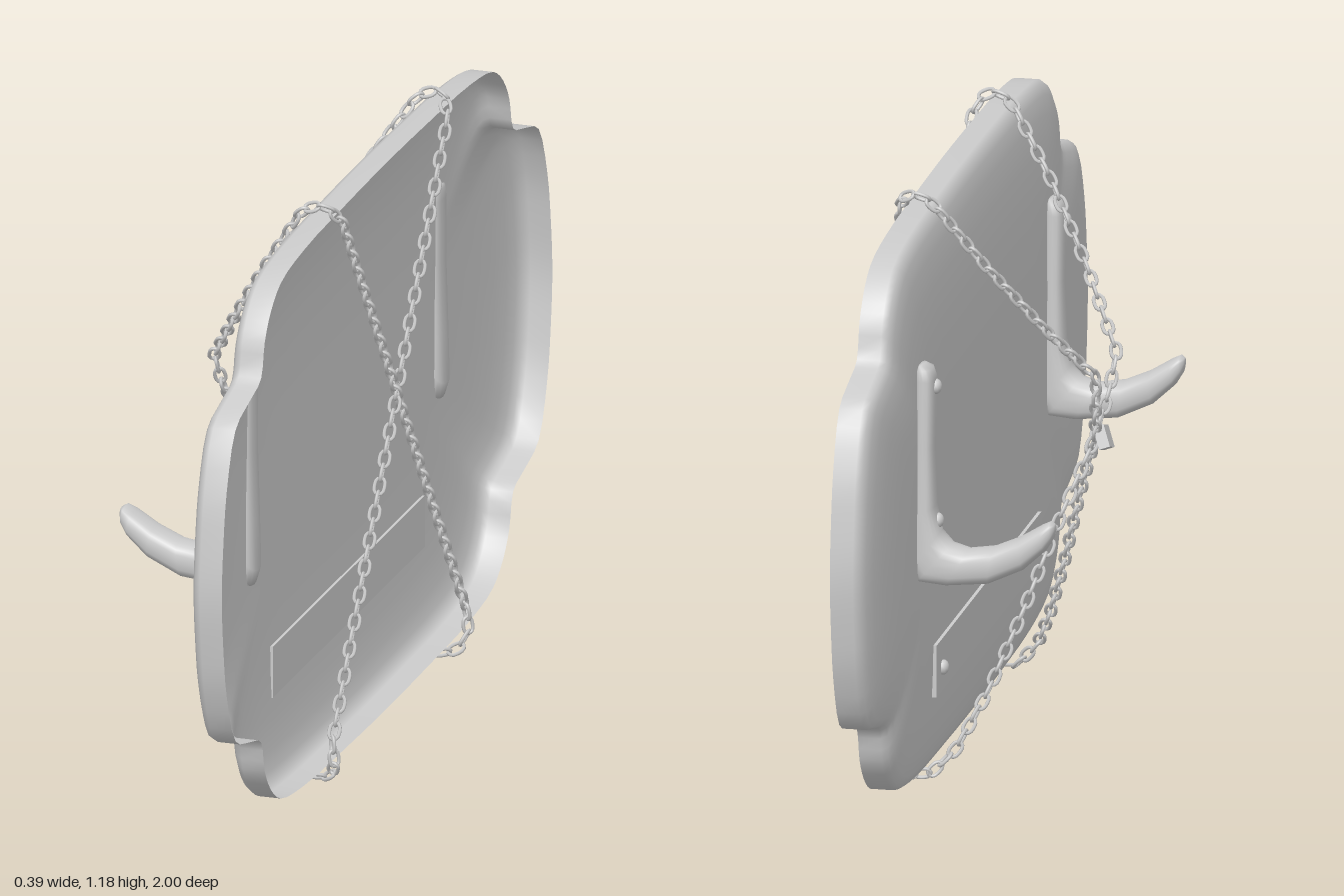
import * as THREE from 'three';
import { mergeGeometries } from 'three/addons/utils/BufferGeometryUtils.js';

const grey = new THREE.MeshStandardMaterial({ color: 0xcccccc });
const greyOpen = new THREE.MeshStandardMaterial({ color: 0xcccccc, side: THREE.DoubleSide });
const V = (x, y, z) => new THREE.Vector3(x, y, z);
const MID_Y = 0.59;

// Skin a list of closed rings that all have the same number of points
function loft(rings) {
  const n = rings[0].length, index = [];
  for (let i = 0; i < rings.length - 1; i++) {
    for (let j = 0; j < n; j++) {
      const a = i * n + j, b = i * n + (j + 1) % n;
      index.push(a, b + n, b, a, a + n, b + n);
    }
  }
  const geo = new THREE.BufferGeometry().setFromPoints(rings.flat());
  geo.setIndex(index);
  geo.computeVertexNormals();
  return geo;
}

function add(parent, name, geo, material = grey) {
  const mesh = new THREE.Mesh(geo, material);
  mesh.name = name;
  parent.add(mesh);
  return mesh;
}

// Board: a hollow domed shell, open at the back (+x), with notched corners
function boardGeometry() {
  const quarter = [[0.25, 0.557], [0.505, 0.549], [0.644, 0.528], [0.703, 0.49], [0.74, 0.44], [0.762, 0.373],
    [0.83, 0.35], [0.917, 0.319], [0.97, 0.21], [0.99, 0.11]];
  const back = [...quarter].reverse();
  const pts = [[0, 0.56], ...quarter, [1, 0], ...back.map(([z, y]) => [z, -y]), [0, -0.56],
    ...quarter.map(([z, y]) => [-z, -y]), [-1, 0], ...back.map(([z, y]) => [-z, y])];
  const outline = new THREE.CatmullRomCurve3(pts.map(([z, y]) => V(0, y, z)), true).getPoints(132).slice(0, -1);
  // depth of each ring and its inset from the outline
  const profile = [[0.15, 0], [0.105, 0], [0.093, 0.007], [0.084, 0.025], [0.077, 0.06], [0.071, 0.12],
    [0.067, 0.22], [0.066, 0.36], [0.066, 0.56]];
  return loft(profile.map(([x, d]) =>
    outline.map(p => V(x, MID_Y + p.y * (1 - d / 0.56), p.z * (1 - d)))));
}

// Hook: rounded sections between an inner and an outer edge line
function hookGeometry() {
  // inner x, inner y, outer x, outer y, half width
  const stations = [
    [0.058, 0.904, 0.068, 0.904, 0.02], [0.043, 0.897, 0.073, 0.897, 0.029], [0.036, 0.875, 0.074, 0.875, 0.033],
    [0.038, 0.74, 0.074, 0.74, 0.034], [0.036, 0.62, 0.078, 0.6, 0.036], [0.025, 0.57, 0.081, 0.5, 0.038],
    [0.003, 0.546, 0.072, 0.468, 0.038], [-0.03, 0.536, 0.015, 0.463, 0.038], [-0.08, 0.544, -0.07, 0.472, 0.038],
    [-0.13, 0.566, -0.14, 0.505, 0.037], [-0.172, 0.592, -0.183, 0.545, 0.034], [-0.19, 0.601, -0.196, 0.567, 0.026],
    [-0.198, 0.597, -0.2, 0.583, 0.012]];
  const soft = v => Math.sign(v) * Math.abs(v) ** 0.75;
  const ring = ([ax, ay, bx, by, w], scale = 1) => Array.from({ length: 20 }, (_, k) => {
    const t = k / 20 * Math.PI * 2, c = soft(Math.cos(t)) * scale, s = soft(Math.sin(t)) * scale;
    return V((ax + bx) / 2 + (ax - bx) / 2 * c, (ay + by) / 2 + (ay - by) / 2 * c, w * s);
  });
  return loft([ring(stations[0], 0), ...stations.map(s => ring(s)), ring(stations.at(-1), 0)]);
}

// Domed screw head facing -x
function screw(parent, x, y, z) {
  const geo = new THREE.SphereGeometry(0.015, 12, 8).scale(0.75, 1, 1);
  add(parent, 'screwHead', geo).position.set(x, y, z);
}

// Chain: alternating oval links along a path of straight runs
function chainGeometry(points) {
  const oval = Array.from({ length: 10 }, (_, k) => {
    const t = k / 10 * Math.PI * 2;
    return V(Math.cos(t) * 0.011 + Math.sign(Math.round(Math.cos(t) * 10)) * 0.006, Math.sin(t) * 0.0095, 0);
  });
  const link = new THREE.TubeGeometry(new THREE.CatmullRomCurve3(oval, true), 14, 0.0038, 5, true);
  const path = new THREE.CurvePath();
  for (let i = 1; i < points.length; i++) path.add(new THREE.LineCurve3(points[i - 1], points[i]));
  const count = Math.round(path.getLength() / 0.0275);
  const links = [];
  for (let i = 0; i < count; i++) {
    const u = (i + 0.5) / count;
    const along = path.getPointAt(Math.min(1, u + 0.003)).sub(path.getPointAt(Math.max(0, u - 0.003))).normalize();
    const turn = new THREE.Quaternion().setFromUnitVectors(V(1, 0, 0), along);
    const roll = new THREE.Quaternion().setFromAxisAngle(V(1, 0, 0), Math.PI / 4 + (i % 2) * Math.PI / 2);
    const matrix = new THREE.Matrix4().compose(path.getPointAt(u), turn.multiply(roll), V(1, 1, 1));
    links.push(link.clone().applyMatrix4(matrix));
  }
  return mergeGeometries(links);
}

export function createModel() {
  const model = new THREE.Group();
  model.name = 'hookBoard';
  add(model, 'board', boardGeometry(), greyOpen);

  // Two hooks with a pair of screws each
  const hookGeo = hookGeometry();
  for (const side of [1, -1]) {
    const hook = new THREE.Group();
    hook.name = side > 0 ? 'leftHook' : 'rightHook';
    add(hook, 'hookBody', hookGeo);
    screw(hook, 0.036, 0.86, 0);
    screw(hook, 0.032, 0.59, 0);
    hook.position.z = side * 0.57;
    model.add(hook);
  }

  // Name plate with a screw at each end
  const plate = new THREE.Group();
  plate.name = 'plate';
  add(plate, 'plateBody', new THREE.BoxGeometry(0.012, 0.105, 0.92)).position.set(0.066, 0.25, 0);
  for (const side of [1, -1]) screw(plate, 0.058, 0.245, side * 0.41);
  model.add(plate);

  // Two chains cross behind the board and meet in front at the padlock
  for (const s of [1, -1]) {
    const points = [
      [-0.15, 0.6, 0], [-0.165, 0.68, 0.06], [-0.172, 0.75, 0.09], [-0.09, 0.88, 0.2], [0, 1.02, 0.29],
      [0.09, 1.155, 0.345], [0.115, 1.172, 0.35], [0.145, 1.172, 0.35], [0.166, 1.14, 0.32],
      [0.175, 0.1, -0.405], [0.18, 0.055, -0.405], [0.165, 0.025, -0.385], [0.13, 0.015, -0.375],
      [0.09, 0.018, -0.37], [0.045, 0.065, -0.355], [0, 0.16, -0.275], [-0.05, 0.3, -0.185],
      [-0.1, 0.46, -0.09], [-0.15, 0.6, 0]];
    add(model, s > 0 ? 'leftChain' : 'rightChain', chainGeometry(points.map(([x, y, z]) => V(x, y, z * s))));
  }
  const lock = add(model, 'padlock', new THREE.BoxGeometry(0.022, 0.045, 0.045));
  lock.position.set(-0.165, 0.6, 0.01);
  lock.rotation.set(0.3, 0, -0.35);
  return model;
}
